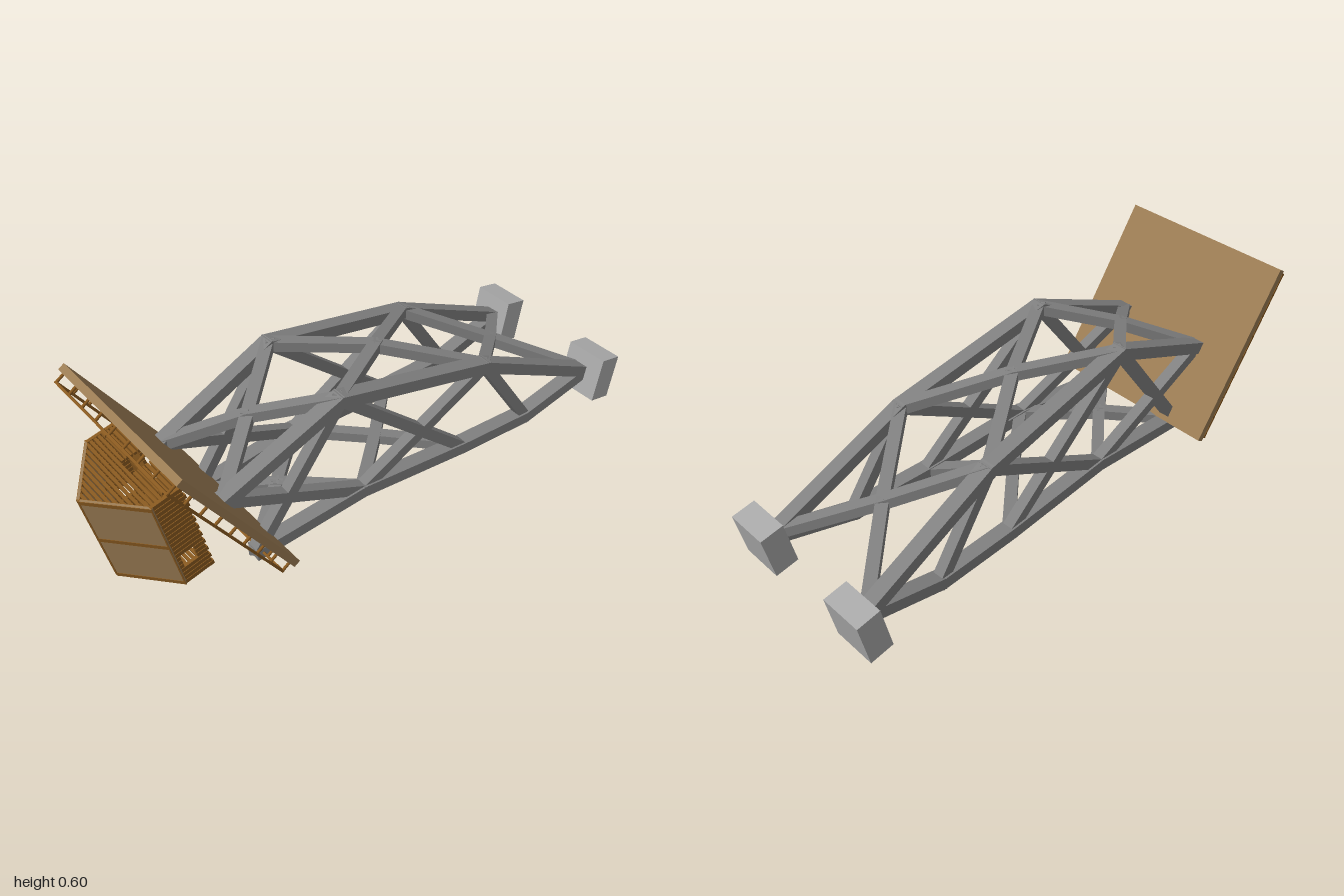
import * as THREE from 'three';

const steel = new THREE.MeshStandardMaterial({ color: 0x808080 });
const block = new THREE.MeshStandardMaterial({ color: 0xaaaaaa });
const wood = new THREE.MeshStandardMaterial({ color: 0x9a7b53 });
const trim = new THREE.MeshStandardMaterial({ color: 0x87581f });

function box(parent, name, mat, size, pos) {
  const m = new THREE.Mesh(new THREE.BoxGeometry(...size), mat);
  m.name = name;
  m.position.set(...pos);
  parent.add(m);
  return m;
}

// Square bar running from a to b
function beam(parent, name, a, b, w, h, extra = 0.02) {
  const p = new THREE.Vector3(...a), q = new THREE.Vector3(...b);
  const m = box(parent, name, steel, [w, h, p.distanceTo(q) + extra], [0, 0, 0]);
  m.position.copy(p).add(q).multiplyScalar(0.5);
  m.lookAt(q);
  return m;
}

function addTruss(root) {
  const g = new THREE.Group();
  g.name = 'truss';
  const top = [[0.63, 0.30], [0.2, 0.485], [-0.4, 0.355], [-0.9, 0.12]];
  const low = [[0.53, 0.03], [0.11, 0.072], [-0.32, 0.043], [-0.62, 0.038], [-0.9, 0.11]];
  // The two sides spread apart towards the feet
  const at = ([z, y], s) => [s * (0.172 + 0.039 * (0.64 - z)), y, z];
  const web = [[low[0], top[1]], [top[0], low[1]], [top[1], low[2]], [low[1], top[2]], [top[2], low[3]]];

  for (const s of [-1, 1]) {
    for (const chord of [top, low])
      for (let i = 0; i + 1 < chord.length; i++)
        beam(g, chord === top ? 'upperChord' : 'lowerChord', at(chord[i], s), at(chord[i + 1], s), 0.054, 0.042);
    for (const [a, b] of web) beam(g, 'sideDiagonal', at(a, s), at(b, s), 0.04, 0.038, 0);
    const foot = box(g, 'foot', block, [0.16, 0.168, 0.085], [s * 0.242, 0.107, -0.939]);
    foot.rotation.x = -0.19;
  }

  // Crossed braces between the sides, slightly crowned where they meet
  const bays = [[top[0], top[1], 0.02], [top[1], top[2], 0.03], [top[2], top[3], 0],
    [low[0], low[1], 0.02], [low[1], low[2], 0]];
  for (const [a, b, crown] of bays) {
    const mid = [0, (a[1] + b[1]) / 2 + crown, (a[0] + b[0]) / 2];
    for (const s of [-1, 1])
      for (const end of [a, b]) beam(g, 'crossBrace', at(end, s), mid, 0.042, 0.036);
  }
  g.position.x = 0.011;
  root.add(g);
}

// Leaning board with a rail standing off its front
function addBoard(root) {
  const g = new THREE.Group();
  g.name = 'board';
  box(g, 'boardPanel', wood, [0.672, 0.66, 0.025], [0, 0, 0]);
  const x = 0.318, y = 0.318, z = 0.046, r = 0.008, n = 8;
  for (const s of [-1, 1]) {
    box(g, 'railBar', trim, [2 * x + r, r, r], [0, s * y, z]);
    box(g, 'railBar', trim, [r, 2 * y + r, r], [s * x, 0, z]);
  }
  const postGeo = new THREE.CylinderGeometry(0.005, 0.005, 0.04, 8);
  const post = (px, py) => {
    const m = new THREE.Mesh(postGeo, trim);
    m.name = 'railPost';
    m.rotation.x = Math.PI / 2;
    m.position.set(px, py, 0.03);
    g.add(m);
  };
  for (let i = 0; i <= n; i++) {
    const t = -1 + (2 * i) / n;
    for (const s of [-1, 1]) {
      post(t * x, s * y);
      if (i > 0 && i < n) post(s * x, t * y);
    }
  }
  g.position.set(-0.003, 0.323, 0.66);
  g.rotation.x = 0.597;
  root.add(g);
}

// Wedge-fronted box: two panels, slatted top, bottom, sides and back
function addWedge(root) {
  const g = new THREE.Group();
  g.name = 'wedgeBox';
  const W = 0.194, D = 0.14, B = 0.245, H = 0.37, gap = 0.033;
  const len = Math.hypot(W, D), ang = Math.atan2(D, W);

  for (const s of [-1, 1]) {
    const side = new THREE.Group();
    side.name = 'frontPanel';
    box(side, 'panel', wood, [len, H, 0.008], [0, H / 2, 0]);
    for (const u of [0.008, H / 2, H - 0.008])
      box(side, 'panelBand', trim, [len, 0.015, 0.011], [0, u, 0]);
    for (const e of [-1, 1])
      box(side, 'panelEdge', trim, [0.005, H, 0.011], [e * (len / 2 - 0.0025), H / 2, 0]);
    side.position.set(s * W / 2, 0, -D / 2 - 0.005);
    side.rotation.y = s * ang;
    g.add(side);
  }

  // Strips across the top and bottom, notched at the back
  for (let w = 0.022; w < B; w += 0.0145) {
    const half = Math.min(W, w * W / D) - 0.008;
    for (const u of [0.006, H - 0.006]) {
      if (w < 0.17) box(g, 'lidSlat', trim, [2 * half, 0.01, 0.01], [0, u, -w]);
      else for (const s of [-1, 1])
        box(g, 'lidSlat', trim, [half - gap, 0.01, 0.01], [s * (half + gap) / 2, u, -w]);
    }
  }

  // Stacked slats on the sides and back, with a small opening in each side
  const rows = 20;
  for (let i = 0; i <= rows; i++) {
    const u = 0.007 + (H - 0.014) * i / rows;
    const back = B + (i % 2 ? 0 : 0.006);
    const runs = u > 0.075 && u < 0.13 ? [[D, 0.16], [0.21, back]] : [[D, back]];
    for (const s of [-1, 1]) {
      for (const [a, b] of runs)
        box(g, 'sideSlat', trim, [0.012, 0.015, b - a], [s * (W - 0.007), u, -(a + b) / 2]);
      box(g, 'backSlat', trim, [W - gap, 0.015, 0.01], [s * (W + gap) / 2, u, -B + 0.005]);
    }
  }

  // Top rods with end knobs
  for (const s of [-1, 1]) {
    const rod = new THREE.Mesh(new THREE.CylinderGeometry(0.005, 0.005, 0.14, 8), trim);
    rod.name = 'topRod';
    rod.rotation.z = Math.PI / 2;
    rod.position.set(s * 0.103, H + 0.001, -0.2);
    const knob = new THREE.Mesh(new THREE.CylinderGeometry(0.009, 0.009, 0.02, 10), trim);
    knob.name = 'rodKnob';
    knob.rotation.z = Math.PI / 2;
    knob.position.set(s * 0.165, H + 0.001, -0.2);
    g.add(rod, knob);
  }
  g.position.set(-0.018, 0.004, 0.92);
  g.rotation.x = 0.22;
  root.add(g);
}

export function createModel() {
  const root = new THREE.Group();
  root.name = 'trussWithBoard';
  addTruss(root);
  addBoard(root);
  addWedge(root);
  return root;
}
